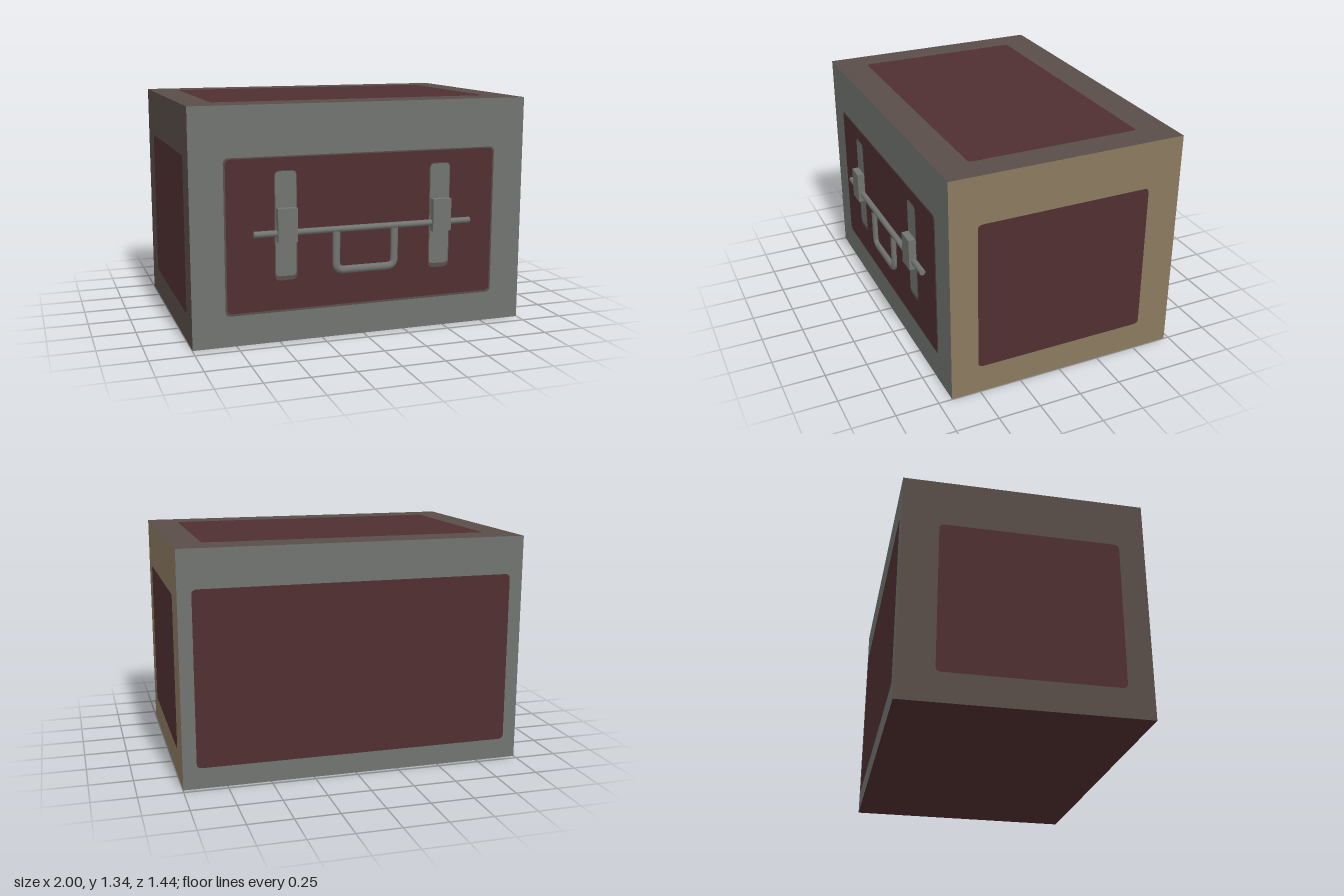
import * as THREE from 'three';

const mat = (name, color) => {
  const m = new THREE.MeshStandardMaterial({ color });
  m.name = name;
  return m;
};

// Flat rounded rectangle centred on the origin, facing +z
function roundedPlate(w, h, r) {
  const s = new THREE.Shape(), x = w / 2, y = h / 2;
  s.moveTo(-x + r, -y);
  s.lineTo(x - r, -y).quadraticCurveTo(x, -y, x, -y + r);
  s.lineTo(x, y - r).quadraticCurveTo(x, y, x - r, y);
  s.lineTo(-x + r, y).quadraticCurveTo(-x, y, -x, y - r);
  s.lineTo(-x, -y + r).quadraticCurveTo(-x, -y, -x + r, -y);
  return new THREE.ShapeGeometry(s, 5);
}

export function createModel() {
  const root = new THREE.Group();
  root.name = 'chest';
  const red = mat('dark red', 0x4f2f31);
  const grey = mat('metal grey', 0x717471);
  const tan = mat('tan', 0x8a795f);
  const brown = mat('grey brown', 0x594d48);

  const add = (name, geo, material, pos, rot = [0, 0, 0]) => {
    const m = new THREE.Mesh(geo, material);
    m.name = name;
    m.position.set(...pos);
    m.rotation.set(...rot);
    root.add(m);
    return m;
  };

  // Body: tan right end, brown left end and lid, red underside, grey front and back
  add('body', new THREE.BoxGeometry(1.996, 1.338, 1.39),
    [tan, brown, brown, red, grey, grey], [0, 0.669, -0.025]);

  // Inset-coloured panels
  const q = Math.PI / 2;
  add('frontPanelRim', roundedPlate(1.62, 0.88, 0.03), brown, [0, 0.615, 0.672]);
  add('frontPanel', roundedPlate(1.6, 0.86, 0.03), red, [0, 0.618, 0.674]);
  add('backPanel', roundedPlate(1.84, 1.0, 0.03), red, [0, 0.62, -0.722], [0, Math.PI, 0]);
  add('rightPanel', roundedPlate(1.03, 0.89, 0.03), red, [1, 0.615, -0.005], [0, q, 0]);
  add('leftPanel', roundedPlate(1.03, 0.89, 0.03), red, [-1, 0.615, 0.005], [0, -q, 0]);
  add('topPanel', roundedPlate(1.66, 1.01, 0.02), red, [0, 1.34, -0.02], [-q, 0, 0]);

  // Latches: painted straps with a raised clasp
  for (const [side, s] of [['left', 1], ['right', -1]]) {
    add(side + 'StrapRim', roundedPlate(0.13, 0.62, 0.035), brown, [s * 0.463, 0.667, 0.676]);
    add(side + 'Strap', roundedPlate(0.12, 0.59, 0.025), grey, [s * 0.463, 0.677, 0.678]);
    add(side + 'Clasp', new THREE.BoxGeometry(0.112, 0.19, 0.05), grey, [s * 0.463, 0.675, 0.695]);
  }

  // Lock rod
  add('lockRod', new THREE.CylinderGeometry(0.018, 0.018, 1.3, 10), grey, [0, 0.63, 0.69], [0, 0, q]);

  // U-shaped handle with softened lower corners
  const v = (x, y) => new THREE.Vector3(x, y, 0);
  const path = new THREE.CurvePath();
  const x = 0.175, low = 0.395, r = 0.045;
  path.add(new THREE.LineCurve3(v(-x, 0.62), v(-x, low + r)));
  path.add(new THREE.QuadraticBezierCurve3(v(-x, low + r), v(-x, low), v(-x + r, low)));
  path.add(new THREE.LineCurve3(v(-x + r, low), v(x - r, low)));
  path.add(new THREE.QuadraticBezierCurve3(v(x - r, low), v(x, low), v(x, low + r)));
  path.add(new THREE.LineCurve3(v(x, low + r), v(x, 0.62)));
  const handle = add('handle', new THREE.TubeGeometry(path, 60, 0.023, 8), grey, [0, 0, 0.695]);
  handle.scale.z = 0.75;

  return root;
}
